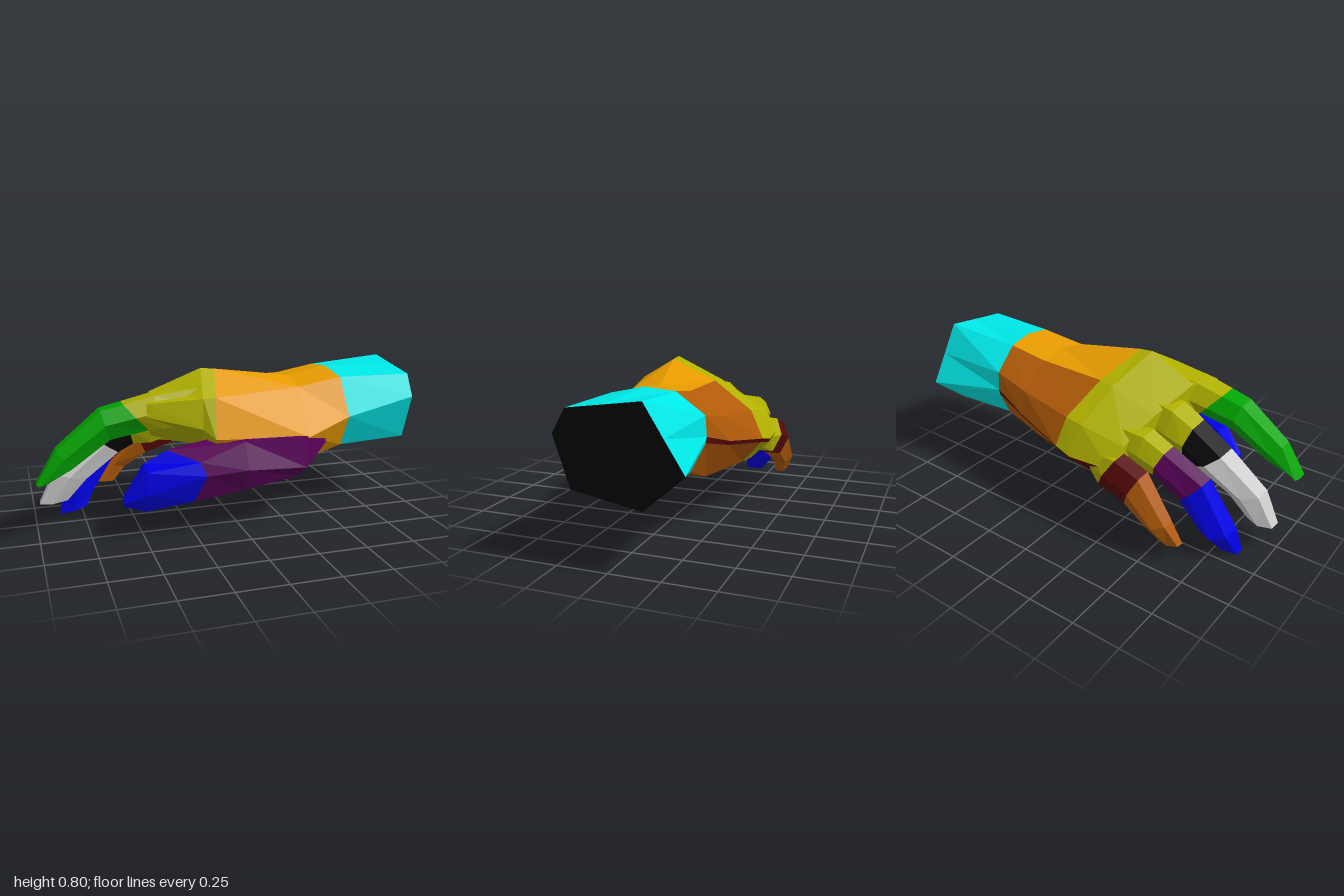
import * as THREE from 'three';

function mat(name, color) {
  const m = new THREE.MeshStandardMaterial({ color, flatShading: true });
  m.name = name;
  return m;
}

// Joins matching rings of points; colourOf(segment, side) picks the material of each facet.
function loft(name, rings, colourOf, startCap, endCap) {
  const group = new THREE.Group();
  group.name = name;
  const buckets = new Map();
  const tri = (m, ...pts) => {
    if (!buckets.has(m)) buckets.set(m, []);
    pts.forEach(p => buckets.get(m).push(...p));
  };
  const n = rings[0].length, last = rings[rings.length - 1];
  for (let i = 0; i < rings.length - 1; i++) {
    for (let j = 0; j < n; j++) {
      const k = (j + 1) % n, m = colourOf(i, j);
      tri(m, rings[i][j], rings[i][k], rings[i + 1][k]);
      tri(m, rings[i][j], rings[i + 1][k], rings[i + 1][j]);
    }
  }
  for (let j = 1; j < n - 1; j++) {
    tri(startCap, rings[0][0], rings[0][j + 1], rings[0][j]);
    tri(endCap, last[0], last[j], last[j + 1]);
  }
  for (const [m, pos] of buckets) {
    const g = new THREE.BufferGeometry();
    g.setAttribute('position', new THREE.Float32BufferAttribute(pos, 3));
    g.computeVertexNormals();
    const mesh = new THREE.Mesh(g, m);
    mesh.name = `${name} ${m.name}`;
    group.add(mesh);
  }
  return group;
}

// Six-sided finger ring: top point x,y, bottom point x,y, back z, front z.
const HEX = [[0.22, 0], [0.75, 0.03], [1, 0.5], [0.76, 1], [0.2, 1], [0, 0.45]];
const fingerRing = ([xt, yt, xb, yb, zBack, zFront]) => HEX.map(([u, v]) =>
  [xt + (xb - xt) * v, yt + (yb - yt) * v, zFront + (zBack - zFront) * u]);

// Slanted ring: x shifts with z; points are [z, y] from front-top over the back.
const slantRing = ([x, slant, pts]) => pts.map(([z, y]) => [x + slant * z, y, z]);

export function createModel() {
  const cyan = mat('cyan', 0x00e6e6), orange = mat('orange', 0xe69a00);
  const brown = mat('brown', 0xb05a08), olive = mat('olive', 0xb0b000);
  const green = mat('green', 0x00a600), grey = mat('grey', 0xcccccc);
  const black = mat('black', 0x050505), blue = mat('blue', 0x0000e6);
  const purple = mat('purple', 0x580058), red = mat('darkRed', 0x580808);

  const hand = new THREE.Group();
  hand.name = 'hand';

  // Wrist, palm and knuckles, with a thin dark strip along the back edge
  const palm = [
    [1, 0, [[.18, .715], [0, .74], [-.175, .765], [-.267, .617], [-.36, .47], [-.34, .45],
      [-.17, .3], [0, .33], [.165, .36], [.245, .6]]],
    [.59, .11, [[.16, .715], [0, .75], [-.15, .735], [-.288, .63], [-.295, .53], [-.29, .5],
      [-.22, .36], [0, .33], [.19, .35], [.265, .52]]],
    [.36, 0, [[.18, .68], [.02, .715], [-.14, .7], [-.31, .59], [-.345, .47], [-.335, .45],
      [-.22, .28], [0, .28], [.21, .28], [.345, .45]]],
    [-.05, -.25, [[.31, .68], [.12, .79], [-.14, .695], [-.355, .56], [-.425, .42], [-.415, .4],
      [-.31, .28], [0, .29], [.22, .36], [.37, .485]]],
    [-.13, -.2, [[.31, .68], [.12, .797], [-.15, .69], [-.36, .55], [-.44, .4], [-.43, .38],
      [-.33, .28], [0, .36], [.2, .46], [.33, .53]]],
    [-.39, -.27, [[.275, .665], [.1, .69], [-.15, .6], [-.34, .5], [-.42, .4], [-.41, .38],
      [-.33, .31], [0, .42], [.2, .53], [.28, .6]]],
  ].map(slantRing);
  const palmColour = (i, j) => {
    if (i === 0) return cyan;
    if (j === 4 || (i === 4 && j === 5)) return red;
    if (i > 2) return olive;
    return j >= 2 && j <= 6 ? brown : orange;
  };
  hand.add(loft('palm', palm, palmColour, black, olive));

  // Thumb, with its colour break slanting back along the outer side
  const thumb = [
    [.48, 0, [[.27, .44], [.15, .44], [.1, .4], [.13, .36], [.2, .35], [.285, .4]]],
    [.34, 0, [[.35, .46], [.25, .46], [.08, .33], [.12, .24], [.25, .215], [.37, .3]]],
    [0, 0, [[.39, .47], [.27, .495], [.05, .3], [.175, .165], [.385, .22], [.45, .34]]],
    [-.665, 1.1, [[.395, .385], [.27, .425], [.23, .28], [.25, .17], [.37, .18], [.42, .32]]],
    [-.49, 0, [[.375, .35], [.27, .365], [.24, .25], [.27, .16], [.335, .14], [.385, .24]]],
    [-.6, 0, [[.35, .22], [.31, .22], [.3, .2], [.31, .18], [.34, .18], [.355, .2]]],
  ].map(slantRing);
  hand.add(loft('thumb', thumb, i => i < 3 ? purple : blue, purple, blue));

  // Fingers: one colour for each segment
  const fingers = {
    indexFinger: [[olive, olive, green, green, green], [
      [-.18, .72, -.2, .54, .1, .27], [-.42, .695, -.38, .53, .075, .285], [-.57, .66, -.45, .525, .08, .28],
      [-.68, .635, -.64, .49, .09, .27], [-.9, .46, -.83, .36, .13, .27], [-1, .3, -.97, .29, .17, .27]]],
    middleFinger: [[olive, olive, black, grey, grey], [
      [-.2, .66, -.22, .45, -.12, .06], [-.42, .63, -.4, .4, -.15, .07], [-.54, .57, -.49, .4, -.15, .06],
      [-.7, .46, -.57, .36, -.14, .06], [-.9, .28, -.74, .24, -.09, .075], [-.98, .12, -.84, .13, -.06, .055]]],
    ringFinger: [[olive, olive, purple, blue, blue], [
      [-.16, .56, -.2, .4, -.31, -.17], [-.38, .56, -.36, .38, -.33, -.16], [-.5, .51, -.44, .37, -.33, -.17],
      [-.7, .39, -.58, .26, -.3, -.15], [-.84, .13, -.69, .11, -.285, -.1], [-.87, 0, -.73, .03, -.2, -.1]]],
    littleFinger: [[olive, red, brown, brown], [
      [-.14, .44, -.14, .32, -.41, -.31], [-.3, .46, -.2, .29, -.45, -.3], [-.44, .41, -.36, .24, -.455, -.3],
      [-.6, .2, -.48, .16, -.45, -.33], [-.66, .09, -.55, .08, -.405, -.335]]],
  };
  for (const [name, [colours, sections]] of Object.entries(fingers)) {
    hand.add(loft(name, sections.map(fingerRing), i => colours[i], colours[0], colours[colours.length - 1]));
  }
  return hand;
}
